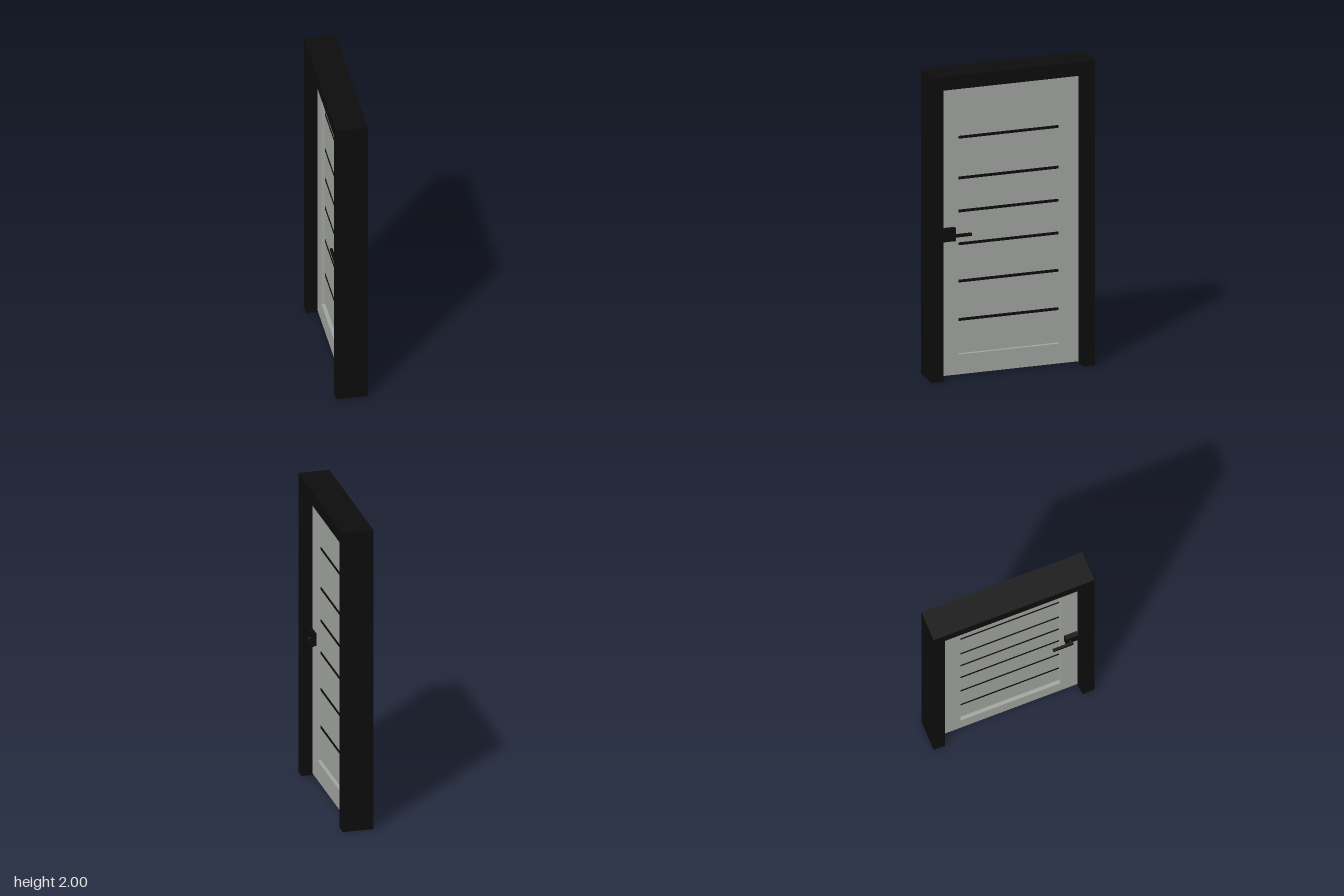
import * as THREE from 'three';

const black = new THREE.MeshStandardMaterial({ color: 0x0c0c0c });
const grey = new THREE.MeshStandardMaterial({ color: 0xa2a4a0 });

function box(parent, name, material, size, position) {
  const mesh = new THREE.Mesh(new THREE.BoxGeometry(...size), material);
  mesh.name = name;
  mesh.position.set(...position);
  parent.add(mesh);
  return mesh;
}

// Extrudes a shape drawn in (z, y) symmetrically through the door's depth
function slab(parent, name, material, shape, depth) {
  const geometry = new THREE.ExtrudeGeometry(shape, { depth, bevelEnabled: false });
  geometry.translate(0, 0, -depth / 2);
  geometry.rotateY(-Math.PI / 2);
  const mesh = new THREE.Mesh(geometry, material);
  mesh.name = name;
  parent.add(mesh);
}

const points = (list) => list.map(([z, y]) => new THREE.Vector2(z, y));
const rect = (z0, y0, z1, y1) => points([[z0, y0], [z1, y0], [z1, y1], [z0, y1]]);

// Upside-down U: two jambs and a head
function portal(outer, top, inner, head, foot) {
  return new THREE.Shape(points([
    [-outer, foot], [-inner, foot], [-inner, head], [inner, head],
    [inner, foot], [outer, foot], [outer, top], [-outer, top],
  ]));
}

export function createModel() {
  const door = new THREE.Group();
  door.name = 'door';

  // Frame with a slim lining standing proud inside the opening
  const frame = new THREE.Group();
  frame.name = 'frame';
  door.add(frame);
  slab(frame, 'casing', black, portal(0.54, 2, 0.462, 1.91, 0), 0.2);
  slab(frame, 'lining', black, portal(0.5, 1.95, 0.455, 1.903, 0.012), 0.16);

  // Leaf: stiles and rails around a recessed panel
  const leaf = new THREE.Group();
  leaf.name = 'leaf';
  door.add(leaf);
  const stiles = new THREE.Shape(rect(-0.46, 0.013, 0.46, 1.907));
  stiles.holes.push(new THREE.Path(rect(-0.33, 0.143, 0.34, 1.787)));
  slab(leaf, 'stilesAndRails', grey, stiles, 0.06);
  box(leaf, 'panel', grey, [0.012, 1.66, 0.68], [0, 0.965, 0.005]);

  // Dark strips across both sides of the panel
  for (const y of [0.365, 0.617, 0.862, 1.077, 1.294, 1.561]) {
    box(leaf, 'strip', black, [0.017, 0.018, 0.672], [0, y, 0.005]);
  }

  // Lever handle on each side
  for (const side of [1, -1]) {
    const handle = new THREE.Group();
    handle.name = side > 0 ? 'leftHandle' : 'rightHandle';
    box(handle, 'rose', black, [0.03, 0.085, 0.085], [side * 0.045, 0.942, 0.407]);
    const neck = new THREE.Mesh(new THREE.CylinderGeometry(0.01, 0.01, 0.03, 16), black);
    neck.name = 'neck';
    neck.rotation.z = Math.PI / 2;
    neck.position.set(side * 0.07, 0.942, 0.395);
    handle.add(neck);
    box(handle, 'lever', black, [0.016, 0.018, 0.135], [side * 0.082, 0.942, 0.338]);
    door.add(handle);
  }

  return door;
}
